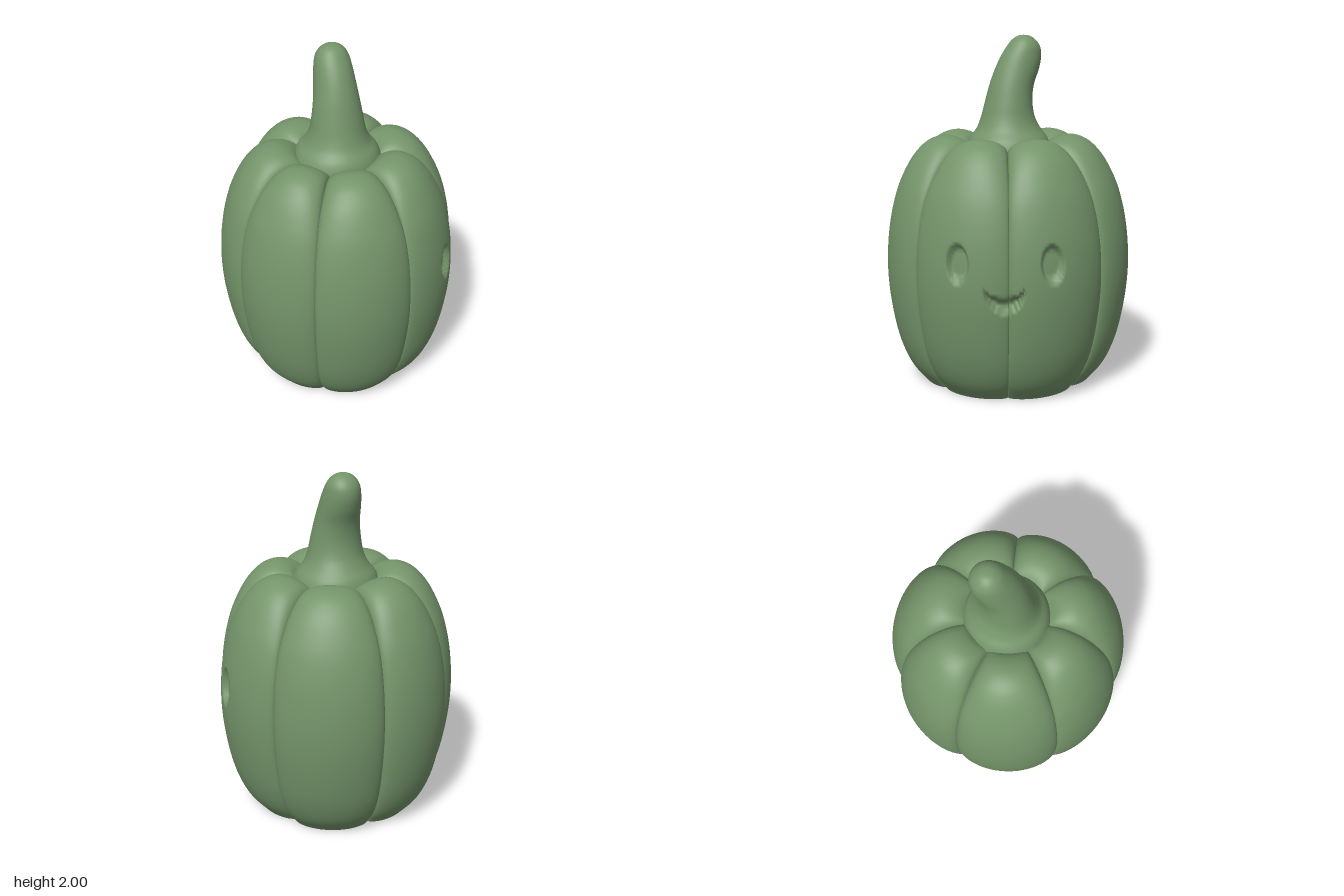
import * as THREE from 'three';

const { degToRad, smoothstep } = THREE.MathUtils;
const material = new THREE.MeshStandardMaterial({ color: 0x74946a });

// Smooth skin through closed rings of points, listed from bottom to top
function loft(rings) {
  const n = rings[0].length, index = [];
  for (let j = 0; j < rings.length - 1; j++) {
    for (let i = 0; i < n; i++) {
      const a = j * n + i, b = j * n + (i + 1) % n;
      index.push(a, b, a + n, b, b + n, a + n);
    }
  }
  const geometry = new THREE.BufferGeometry().setFromPoints(rings.flat());
  geometry.setIndex(index);
  geometry.computeVertexNormals();
  return geometry;
}

function named(geometry, name) {
  const mesh = new THREE.Mesh(geometry, material);
  mesh.name = name;
  return mesh;
}

const spline = (points) =>
  new THREE.CatmullRomCurve3(points.map(([x, y, z = 0]) => new THREE.Vector3(x, y, z)));

// Matching [radius, height] profiles along a lobe's crest and along a groove
const crest = spline([[0.49, 0], [0.57, 0.1], [0.625, 0.22], [0.67, 0.4], [0.698, 0.65], [0.686, 0.9],
  [0.645, 1.1], [0.6, 1.22], [0.53, 1.34], [0.45, 1.415], [0.36, 1.442], [0.27, 1.42], [0.19, 1.34]]);
const groove = spline([[0.44, 0], [0.52, 0.1], [0.575, 0.22], [0.615, 0.4], [0.64, 0.65], [0.627, 0.9],
  [0.58, 1.1], [0.53, 1.2], [0.465, 1.28], [0.39, 1.335], [0.31, 1.36], [0.24, 1.35], [0.17, 1.3]]);

// Groove directions (from +z towards +x) and the fullness of each lobe
const grooveAngles = [-180, -132, -77.5, -30, 20, 71, 124, 180];
const fullness = [1.015, 1.0, 0.99, 1.0, 0.98, 0.995, 1.025];

// Depth of the carved eyes and smile at a surface position
const FACE_ANGLE = degToRad(69);
function carving(angle, y) {
  const u = (angle - FACE_ANGLE) * 0.67;
  const eye = 1 - Math.hypot((Math.abs(u) - 0.257) / 0.064, (y - 0.82) / 0.103);
  let depth = 0.035 * smoothstep(eye, -0.03, 0.22);
  const s = u / 0.11;
  if (Math.abs(s) < 1) {
    const arc = Math.sqrt(1 - s * s);
    const inside = Math.min(y - (0.7 - 0.14 * arc), 0.7 - 0.07 * arc - y);
    depth += 0.045 * smoothstep(inside, -0.004, 0.014);
  }
  return depth;
}

function bodyRings() {
  const columns = [];
  fullness.forEach((full, k) => {
    const steps = k === 4 || k === 5 ? 110 : 28;
    const from = degToRad(grooveAngles[k]), to = degToRad(grooveAngles[k + 1]);
    for (let i = 0; i < steps; i++) {
      const t = Math.PI * i / steps;
      columns.push({ angle: from + (to - from) * (1 - Math.cos(t)) / 2, bulge: Math.sin(t), full });
    }
  });
  const rows = 150, rings = [];
  for (let j = 0; j <= rows; j++) {
    const c = crest.getPoint(j / rows), g = groove.getPoint(j / rows);
    rings.push(columns.map(({ angle, bulge, full }) => {
      const y = g.y + (c.y - g.y) * bulge;
      const r = g.x + (c.x * full - g.x) * bulge - carving(angle, y);
      return new THREE.Vector3(r * Math.sin(angle), y, r * Math.cos(angle));
    }));
  }
  return rings;
}

// Stem sections: half width, height, front z, back z
function stemRings() {
  const sections = [
    [0.25, 1.26, 0.23, -0.255], [0.252, 1.35, 0.232, -0.258], [0.228, 1.415, 0.212, -0.24],
    [0.185, 1.47, 0.172, -0.2], [0.16, 1.53, 0.147, -0.167], [0.143, 1.62, 0.122, -0.15],
    [0.127, 1.72, 0.095, -0.16], [0.115, 1.81, 0.062, -0.193], [0.105, 1.88, 0.028, -0.207],
    [0.092, 1.935, -0.008, -0.2], [0.068, 1.974, -0.04, -0.172], [0.035, 1.995, -0.073, -0.14],
    [0.001, 2.0, -0.104, -0.106],
  ];
  const middle = spline(sections.map(([w, y, f, b]) => [w, y, (f + b) / 2]));
  const depth = spline(sections.map(([w, y, f, b]) => [(f - b) / 2, y]));
  const rows = 60, sides = 64, rings = [];
  for (let j = 0; j <= rows; j++) {
    const m = middle.getPoint(j / rows), d = depth.getPoint(j / rows).x;
    rings.push(Array.from({ length: sides }, (_, i) => {
      const a = 2 * Math.PI * i / sides;
      return new THREE.Vector3(m.x * Math.sin(a), m.y, m.z + d * Math.cos(a));
    }));
  }
  return rings;
}

export function createModel() {
  const group = new THREE.Group();
  group.name = 'pumpkin';

  const rings = bodyRings();
  group.add(named(loft(rings), 'ribbedBody'));

  // Flat scalloped underside
  const outline = new THREE.Shape(rings[0].map((p) => new THREE.Vector2(p.x, p.z)));
  group.add(named(new THREE.ShapeGeometry(outline).rotateX(Math.PI / 2), 'base'));

  group.add(named(loft(stemRings()), 'stem'));
  return group;
}
